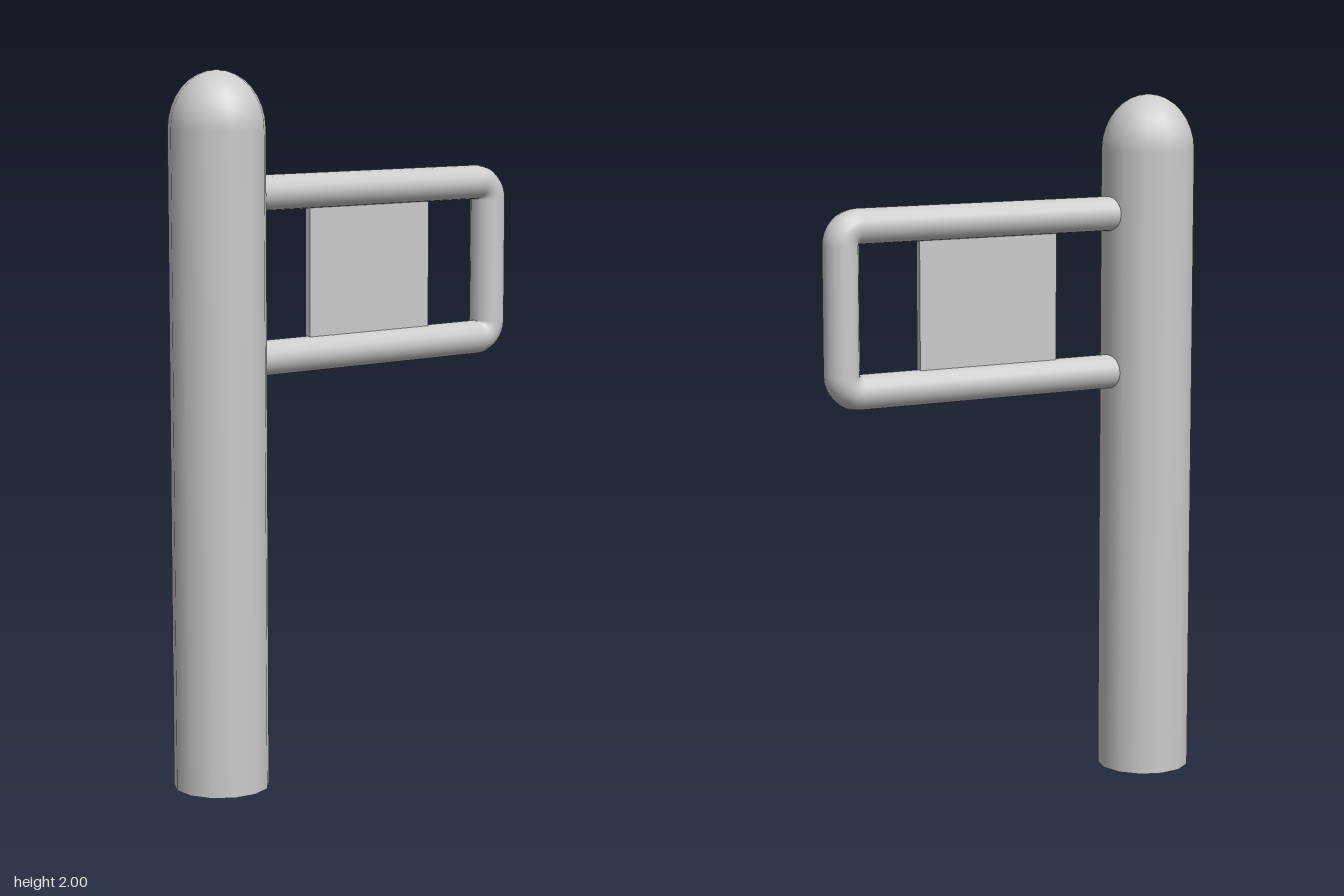
import * as THREE from 'three';

export function createModel() {
  const model = new THREE.Group();
  const material = new THREE.MeshStandardMaterial({ color: 0xcccccc });
  const add = (name, geometry, parent = model) => {
    const mesh = new THREE.Mesh(geometry, material);
    mesh.name = name;
    parent.add(mesh);
    return mesh;
  };

  // Thirteen-sided post with a domed cap, one corner facing +x
  const postX = -0.457, postR = 0.135, postH = 1.84, domeH = 0.16, sides = 13;
  const post = new THREE.Group();
  post.name = 'post';
  post.position.x = postX;
  post.rotation.y = Math.PI / 2;
  model.add(post);
  add('postShaft', new THREE.CylinderGeometry(postR, postR, postH, sides), post).position.y = postH / 2;
  const dome = add('postDome',
    new THREE.SphereGeometry(1, sides, 8, Math.PI / 2, Math.PI * 2, 0, Math.PI / 2), post);
  dome.scale.set(postR, domeH, postR);
  dome.position.y = postH;

  // U-shaped handle: two rails, an upright and two tight elbows
  const r = 0.05, top = 1.66, bottom = 1.2, startX = -0.335, endX = 0.535, bendX = endX - r;
  const handle = new THREE.Group();
  handle.name = 'handle';
  handle.scale.z = 1.05;
  model.add(handle);
  const railLength = bendX - startX;
  for (const [side, y, dir] of [['upper', top, 1], ['lower', bottom, -1]]) {
    const rail = add(side + 'Rail', new THREE.CylinderGeometry(r, r, railLength, 16), handle);
    rail.rotation.z = Math.PI / 2;
    rail.position.set((startX + bendX) / 2, y, 0);
    const elbow = add(side + 'Elbow', new THREE.TorusGeometry(r, r, 16, 8, Math.PI / 2), handle);
    elbow.rotation.z = dir > 0 ? 0 : -Math.PI / 2;
    elbow.position.set(bendX, y - dir * r, 0);
  }
  add('upright', new THREE.CylinderGeometry(r, r, top - bottom - 2 * r, 16), handle)
    .position.set(endX, (top + bottom) / 2, 0);

  // Thin sign panel held between the rails
  add('panel', new THREE.BoxGeometry(0.44, 0.38, 0.02)).position.set(0.076, 1.43, 0);

  return model;
}
